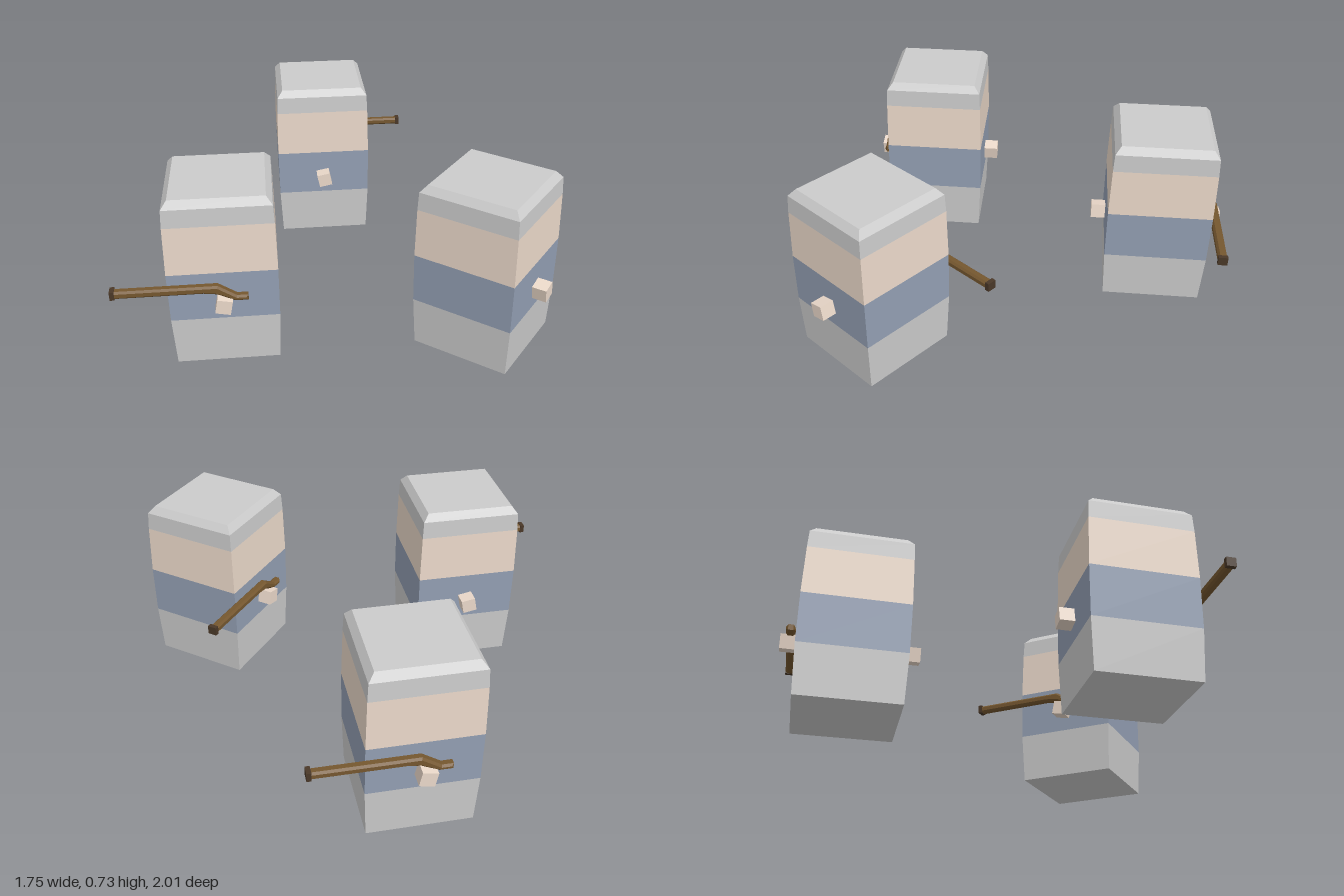
import * as THREE from 'three';

const mat = (color) => new THREE.MeshStandardMaterial({ color, flatShading: true });
const grey = mat(0xcccccc), skin = mat(0xebd9ca), blue = mat(0x939fb3);
const wood = mat(0x75572f), dark = mat(0x4a3828);

function add(parent, name, geometry, material, x = 0, y = 0, z = 0) {
  const mesh = new THREE.Mesh(geometry, material);
  mesh.name = name;
  mesh.position.set(x, y, z);
  parent.add(mesh);
  return mesh;
}

// Square tapered ring between two heights; half widths h0 (bottom), h1 (top)
function band(y0, h0, y1, h1) {
  return new THREE.CylinderGeometry(h1 * Math.SQRT2, h0 * Math.SQRT2, y1 - y0, 4, 1, true)
    .rotateY(Math.PI / 4).translate(0, (y0 + y1) / 2, 0);
}

// Long gun: bevelled side profile (forward, height) with a dropped stock
function makeGun() {
  const gun = new THREE.Group();
  gun.name = 'gun';
  const b = 0.008;
  const shape = new THREE.Shape([
    [0.416, 0.360], [0.416, 0.376], [0.022, 0.376], [-0.05, 0.329], [-0.087, 0.329],
    [-0.087, 0.321], [-0.046, 0.321], [0.02, 0.353], [0.075, 0.360],
  ].map(([f, y]) => new THREE.Vector2(f, y)));
  const geometry = new THREE.ExtrudeGeometry(shape, {
    depth: 0.02, bevelEnabled: true, bevelThickness: b, bevelSize: b, bevelSegments: 1,
  }).translate(0, 0, -0.01).rotateY(Math.PI / 2);
  add(gun, 'barrelAndStock', geometry, wood);
  add(gun, 'muzzle', new THREE.BoxGeometry(0.038, 0.036, 0.018), dark, 0, 0.369, -0.417);
  gun.position.x = -0.238;
  return gun;
}

// One blocky figure facing -z
function makeFigure() {
  const figure = new THREE.Group();
  const bands = [
    ['legs', 0, 0.205, 0.21, 0.2135, grey],
    ['shirt', 0.21, 0.2135, 0.42, 0.2145, blue],
    ['face', 0.42, 0.2145, 0.625, 0.2105, skin],
    ['hatSide', 0.625, 0.2105, 0.70, 0.207, grey],
    ['hatBevel', 0.70, 0.207, 0.73, 0.183, grey],
  ];
  for (const [name, y0, h0, y1, h1, m] of bands) add(figure, name, band(y0, h0, y1, h1), m);
  add(figure, 'hatTop', new THREE.PlaneGeometry(0.366, 0.366).rotateX(-Math.PI / 2), grey, 0, 0.73);
  add(figure, 'underside', new THREE.PlaneGeometry(0.41, 0.41).rotateX(Math.PI / 2), grey);

  // Floating hands, slightly tilted
  for (const side of [-1, 1]) {
    const hand = add(figure, side > 0 ? 'leftSideHand' : 'rightSideHand',
      new THREE.BoxGeometry(0.06, 0.06, 0.06), skin, side * 0.246, 0.3, 0);
    hand.rotation.x = 0.2;
  }
  figure.add(makeGun());
  return figure;
}

export function createModel() {
  const model = new THREE.Group();
  model.name = 'figureTrio';
  const places = [
    ['rightFigure', 0.595, -0.016, 0],
    ['backFigure', -0.575, -0.54, -0.9],
    ['frontFigure', -0.312, 0.533, Math.PI - 0.9],
  ];
  for (const [name, x, z, turn] of places) {
    const figure = makeFigure();
    figure.name = name;
    figure.position.set(x, 0, z);
    figure.rotation.y = turn;
    model.add(figure);
  }
  return model;
}
